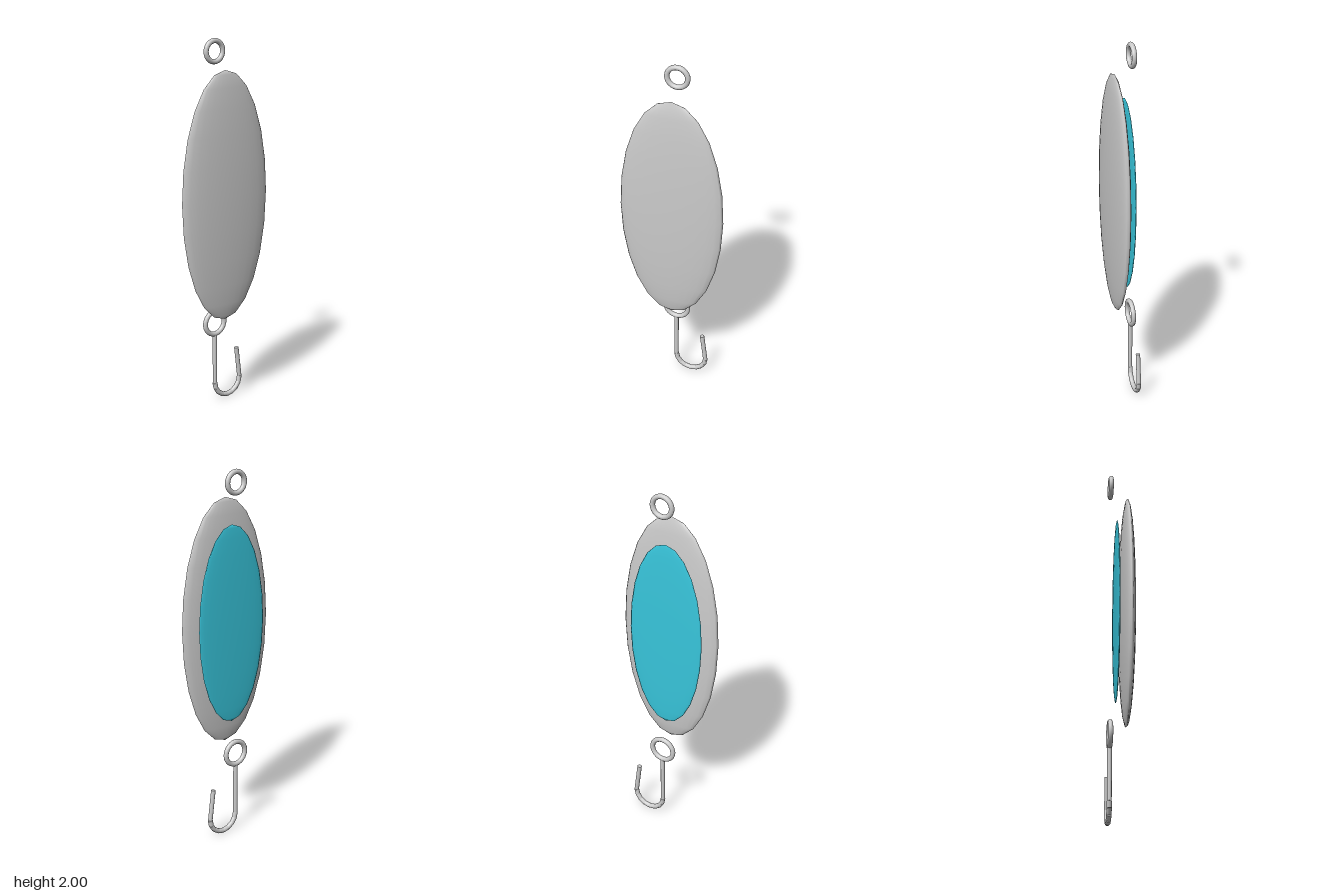
import * as THREE from 'three';

const METAL = new THREE.MeshStandardMaterial({ color: 0xcccccc });
const TEAL = new THREE.MeshStandardMaterial({ color: 0x38c6dc });
const WIRE = 0.0135; // wire radius
const WIRE_Z = -0.06; // plane of the rings and hook

function mesh(name, geometry, material = METAL) {
  const m = new THREE.Mesh(geometry, material);
  m.name = name;
  return m;
}

// Flattened sphere given by centre and half sizes
function ellipsoid(name, center, half, material) {
  const m = mesh(name, new THREE.SphereGeometry(1, 24, 12).scale(...half), material);
  m.position.set(...center);
  return m;
}

function ring(name, y, radius) {
  const m = mesh(name, new THREE.TorusGeometry(radius, WIRE, 12, 24));
  m.position.set(0, y, WIRE_Z);
  return m;
}

// Straight piece of wire between two points in the hook's plane
function rod(name, a, b, radius) {
  const dir = b.clone().sub(a);
  const m = mesh(name, new THREE.CylinderGeometry(radius, radius, dir.length(), 12));
  m.position.copy(a).add(b).multiplyScalar(0.5);
  m.quaternion.setFromUnitVectors(new THREE.Vector3(0, 1, 0), dir.normalize());
  return m;
}

function createHook() {
  const hook = new THREE.Group();
  hook.name = 'hook';
  hook.position.z = WIRE_Z;
  const bendR = 0.0875, bendY = 0.1013, segments = 8;
  const onBend = (i) => {
    const t = Math.PI * (1 + i / segments);
    return new THREE.Vector3(bendR + bendR * Math.cos(t), bendY + bendR * Math.sin(t), 0);
  };

  hook.add(rod('hookShank', new THREE.Vector3(0, 0.385, 0), onBend(0), 0.012));
  // Bend made of short straight pieces
  for (let i = 0; i < segments; i++) {
    hook.add(rod('hookBend', onBend(i), onBend(i + 1), WIRE));
  }
  hook.add(rod('hookPoint', onBend(segments), new THREE.Vector3(0.153, 0.275, 0), 0.0125));
  return hook;
}

export function createModel() {
  const model = new THREE.Group();
  model.name = 'fishingLure';
  model.add(
    ellipsoid('spoonBody', [0, 1.172, 0.029], [0.283, 0.672, 0.042], METAL),
    ellipsoid('backInlay', [0, 1.17, -0.027], [0.215, 0.54, 0.0135], TEAL),
    ring('topRing', 1.932, 0.0545),
    ring('bottomRing', 0.454, 0.065),
    createHook(),
  );
  return model;
}
